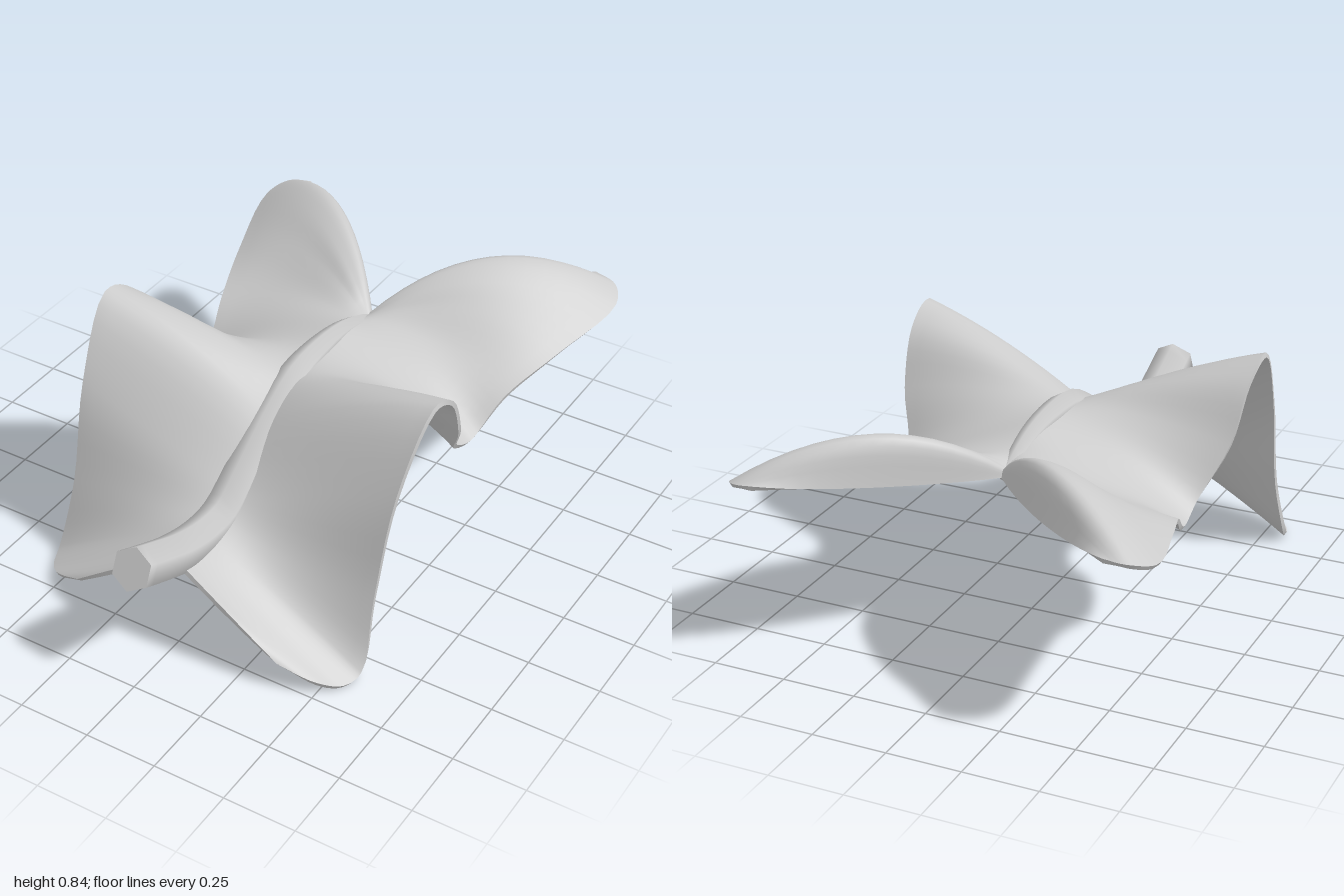
import * as THREE from 'three';

const V = (x, y, z) => new THREE.Vector3(x, y, z);

// Wing ribs from front to back: root, middle and outer edge
const RIBS = [
  [[0, 0.37, 0.77], [0.22, 0.215, 0.77], [0.38, 0.1, 0.762]],
  [[0, 0.355, 0.72], [0.28, 0.175, 0.73], [0.5, 0.04, 0.72]],
  [[0, 0.345, 0.66], [0.3, 0.17, 0.66], [0.56, 0.012, 0.66]],
  [[0, 0.34, 0.59], [0.3, 0.2, 0.59], [0.585, 0.03, 0.59]],
  [[0, 0.35, 0.49], [0.29, 0.31, 0.5], [0.575, 0.26, 0.5]],
  [[0, 0.4, 0.39], [0.3, 0.49, 0.4], [0.59, 0.6, 0.4]],
  [[0, 0.54, 0.22], [0.3, 0.715, 0.22], [0.615, 0.835, 0.23]],
  [[0, 0.61, 0.1], [0.3, 0.725, 0.1], [0.61, 0.78, 0.1]],
  [[0, 0.635, 0], [0.3, 0.645, 0], [0.588, 0.6, 0]],
  [[0, 0.645, -0.13], [0.28, 0.56, -0.13], [0.52, 0.44, -0.11]],
  [[0, 0.64, -0.25], [0.28, 0.54, -0.26], [0.52, 0.395, -0.22]],
  [[0, 0.61, -0.34], [0.3, 0.565, -0.42], [0.56, 0.49, -0.37]],
  [[0, 0.59, -0.4], [0.32, 0.65, -0.55], [0.63, 0.55, -0.6]],
  [[0, 0.58, -0.425], [0.33, 0.725, -0.66], [0.7, 0.605, -0.9]],
  // crest of the rear lobe, then its turned-down inner edge
  [[0, 0.58, -0.44], [0.3, 0.75, -0.735], [0.66, 0.63, -0.975]],
  [[0, 0.565, -0.45], [0.285, 0.61, -0.77], [0.58, 0.642, -0.995]],
];
const NU = 75, NV = 14, THICK = 0.016;

function geometryFrom(points, index) {
  const geo = new THREE.BufferGeometry().setFromPoints(points);
  geo.setIndex(index);
  geo.computeVertexNormals();
  return geo;
}

// Thin closed shell through the ribs; side is +1 for left, -1 for right
function wingGeometry(side) {
  const rails = [0, 1, 2].map(k => new THREE.CatmullRomCurve3(
    RIBS.map(r => V(side * r[k][0], r[k][1], r[k][2]))));
  const points = [], index = [];
  const tri = (a, b, c) => side > 0 ? index.push(a, b, c) : index.push(a, c, b);
  const quad = (a, b, c, d) => { tri(a, b, d); tri(a, d, c); };
  const id = (i, j) => i * (NV + 1) + j;

  for (let i = 0; i <= NU; i++) {
    const [a, m, b] = rails.map(r => r.getPoint(i / NU));
    for (let j = 0; j <= NV; j++) {
      const t = j / NV;
      points.push(V(0, 0, 0)
        .addScaledVector(a, (1 - t) * (1 - 2 * t))
        .addScaledVector(m, 4 * t * (1 - t))
        .addScaledVector(b, t * (2 * t - 1)));
    }
  }
  for (let i = 0; i < NU; i++) for (let j = 0; j < NV; j++)
    quad(id(i, j), id(i, j + 1), id(i + 1, j), id(i + 1, j + 1));

  // Split the sheet into an upper and a lower skin
  const normals = geometryFrom(points, index).attributes.normal;
  const count = points.length;
  for (let k = 0; k < count; k++) {
    const n = V(0, 0, 0).fromBufferAttribute(normals, k);
    points.push(points[k].clone().addScaledVector(n, -THICK / 2));
    points[k].addScaledVector(n, THICK / 2);
  }
  for (let k = 0, n = index.length; k < n; k += 3)
    index.push(index[k] + count, index[k + 2] + count, index[k + 1] + count);

  // Narrow rim around front, outer and rear edges
  const rim = [];
  for (let j = 0; j < NV; j++) rim.push(id(0, j));
  for (let i = 0; i < NU; i++) rim.push(id(i, NV));
  for (let j = NV; j >= 0; j--) rim.push(id(NU, j));
  const base = points.length;
  rim.forEach(k => points.push(points[k].clone(), points[k + count].clone()));
  for (let k = 0; k < rim.length - 1; k++) {
    const a = base + 2 * k;
    quad(a, a + 1, a + 2, a + 3);
  }
  return geometryFrom(points, index);
}

// Six-sided tapering midrib: x, y, z, radius
function stemGeometry() {
  const path = [
    [-0.008, 0.46, 0.967, 0.073], [-0.008, 0.41, 0.86, 0.073], [-0.007, 0.36, 0.74, 0.072],
    [-0.006, 0.328, 0.6, 0.07], [-0.005, 0.336, 0.48, 0.069], [-0.004, 0.415, 0.36, 0.066],
    [-0.002, 0.535, 0.2, 0.061], [0, 0.62, 0.05, 0.055], [0, 0.637, -0.1, 0.048],
    [0, 0.627, -0.25, 0.038], [0, 0.59, -0.38, 0.027], [0, 0.562, -0.45, 0.014],
  ];
  const curve = new THREE.CatmullRomCurve3(path.map(p => V(p[0], p[1], p[2])));
  const N = 33, S = 6, points = [], index = [];
  for (let i = 0; i <= N; i++) {
    const f = i / N * (path.length - 1), k = Math.min(Math.floor(f), path.length - 2);
    const radius = THREE.MathUtils.lerp(path[k][3], path[k + 1][3], f - k);
    const p = curve.getPoint(i / N), d = curve.getTangent(i / N);
    const up = V(0, -d.z, d.y).normalize();
    for (let s = 0; s < S; s++) {
      const a = s / S * Math.PI * 2, c = Math.cos(a) * radius;
      points.push(V(p.x + Math.sin(a) * radius, p.y + up.y * c, p.z + up.z * c));
    }
  }
  for (let i = 0; i < N; i++) for (let s = 0; s < S; s++) {
    const a = i * S + s, b = i * S + (s + 1) % S;
    index.push(a, b, a + S, b, b + S, a + S);
  }
  // Flat caps on both ends
  for (const [ring, front] of [[0, true], [N, false]]) {
    const base = points.length;
    for (let s = 0; s < S; s++) points.push(points[ring * S + s].clone());
    for (let s = 1; s < S - 1; s++)
      front ? index.push(base, base + s + 1, base + s) : index.push(base, base + s, base + s + 1);
  }
  return geometryFrom(points, index);
}

export function createModel() {
  const group = new THREE.Group();
  const material = new THREE.MeshStandardMaterial({ color: 0xcccccc, side: THREE.DoubleSide });
  const add = (name, geo) => {
    const mesh = new THREE.Mesh(geo, material);
    mesh.name = name;
    group.add(mesh);
  };
  add('leftBlade', wingGeometry(1));
  add('rightBlade', wingGeometry(-1));
  add('stem', stemGeometry());
  return group;
}
